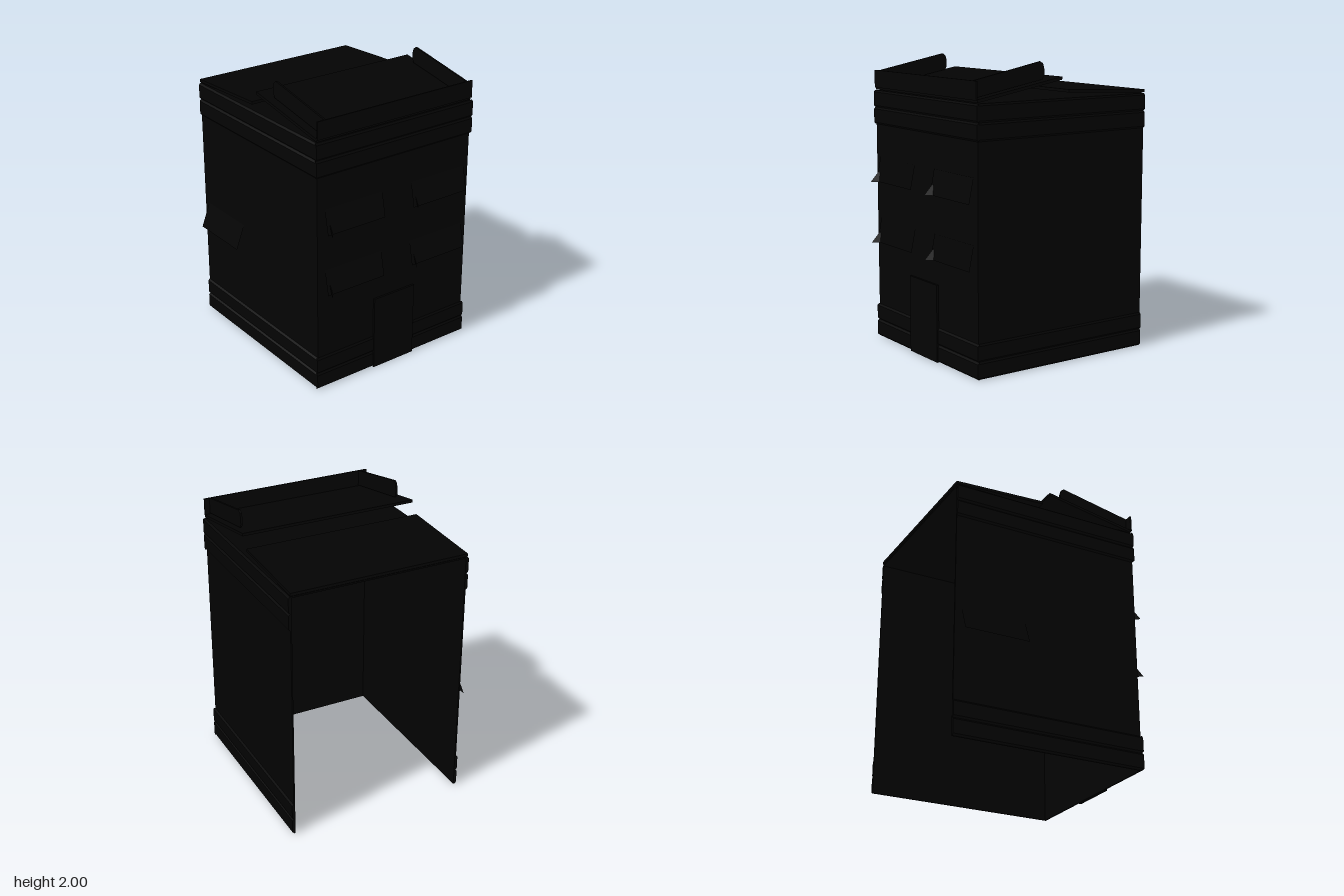
import * as THREE from 'three';

// Overall limits of the building shell
const X0 = -0.605, X1 = 0.65, Z0 = -0.715, Z1 = 0.64, TOP = 1.76, T = 0.01;
const CX = (X0 + X1) / 2, CZ = (Z0 + Z1) / 2;

export function createModel() {
  const model = new THREE.Group();
  model.name = 'building';
  const paint = new THREE.MeshStandardMaterial({ color: 0x030303, side: THREE.DoubleSide, flatShading: true });

  const add = (name, geometry, parent = model) => {
    const mesh = new THREE.Mesh(geometry, paint);
    mesh.name = name;
    parent.add(mesh);
    return mesh;
  };
  const box = (name, x0, x1, y0, y1, z0, z1) =>
    add(name, new THREE.BoxGeometry(x1 - x0, y1 - y0, z1 - z0)
      .translate((x0 + x1) / 2, (y0 + y1) / 2, (z0 + z1) / 2));

  // Outline drawn in (z, y) and extruded along x
  const alongX = (name, points, x0, x1) => {
    const shape = new THREE.Shape(points.map(([z, y]) => new THREE.Vector2(-z, y)));
    const geometry = new THREE.ExtrudeGeometry(shape, { depth: x1 - x0, bevelEnabled: false });
    return add(name, geometry.rotateY(Math.PI / 2).translate(x0, 0, 0));
  };

  // Thin sheet from corners, triangle or quad
  const sheet = (name, corners, parent) => {
    const geometry = new THREE.BufferGeometry();
    geometry.setAttribute('position', new THREE.Float32BufferAttribute(corners.flat(), 3));
    geometry.setIndex(corners.length === 4 ? [0, 1, 2, 0, 2, 3] : [0, 1, 2]);
    geometry.computeVertexNormals();
    return add(name, geometry, parent);
  };

  // Shell, open at the back and underneath
  box('frontWall', X0, X1, 0, TOP, Z1 - T, Z1);
  box('rightWall', X0, X0 + T, 0, TOP, Z0, Z1);
  box('leftWall', X1 - T, X1, 0, TOP, Z0, Z1);
  box('ceiling', X0, X1, TOP - T, TOP, Z0, Z1);

  // Base and top bands, each of two softly rounded courses
  const course = (name, y, length, x, z, turn) => {
    const h = 0.1175, d = 0.012;
    const profile = [[0, 0], [d, 0.012], [d, h - 0.012], [0, h]];
    const shape = new THREE.Shape(profile.map(([px, py]) => new THREE.Vector2(px, py)));
    const geometry = new THREE.ExtrudeGeometry(shape, { depth: length, bevelEnabled: false });
    const mesh = add(name, geometry.translate(0, 0, -length / 2));
    mesh.rotation.y = turn;
    mesh.position.set(x, y, z);
  };
  for (const y of [0, 0.1175, 1.525, 1.6425]) {
    const band = y < 1 ? 'baseBand' : 'topBand';
    course(band + 'Front', y, X1 - X0 + 0.024, CX, Z1, -Math.PI / 2);
    course(band + 'Left', y, Z1 - Z0, X1, CZ, 0);
    course(band + 'Right', y, Z1 - Z0, X0, CZ, Math.PI);
  }

  // Door
  box('door', -0.15, 0.19, 0, 0.53, Z1 + 0.005, Z1 + 0.02);

  // Sloping front awnings with a flared end flap
  for (const x of [-0.55, 0.15]) {
    for (const y of [0.7, 1.13]) {
      const awning = new THREE.Group();
      awning.name = 'frontAwning';
      model.add(awning);
      sheet('awningPanel', [[x, y, 0.68], [x + 0.46, y, 0.68], [x + 0.46, y + 0.17, 0.645], [x, y + 0.17, 0.645]], awning);
      sheet('awningFlap', [[x, y, 0.725], [x + 0.06, y, 0.655], [x + 0.02, y + 0.075, 0.67]], awning);
    }
  }

  // Awning on the side wall
  sheet('sideAwning', [[-0.67, 0.7, -0.67], [-0.67, 0.7, -0.215], [X0, 0.87, -0.215], [X0, 0.87, -0.67]]);

  // Two roof slabs sloping away from the ridge gap
  alongX('frontRoof', [[0.64, 1.765], [0.64, 1.785], [-0.015, 1.9], [-0.015, 1.88]], X0, X1);
  alongX('backRoof', [[-0.72, 1.765], [-0.72, 1.785], [-0.07, 1.815], [-0.07, 1.795]], X0, X1);

  // Front parapet with sloping side fins
  box('frontParapet', X0, X1, 1.78, 1.9, Z1, Z1 + T);
  const fin = [[0.645, 1.79], [0.645, 1.9], [0.13, 2], [0.11, 1.985], [0.1, 1.95], [0.1, 1.91], [0.115, 1.885]];
  for (const x of [-0.545, 0.605]) alongX('parapetFin', fin, x - 0.007, x + 0.007);

  return model;
}
